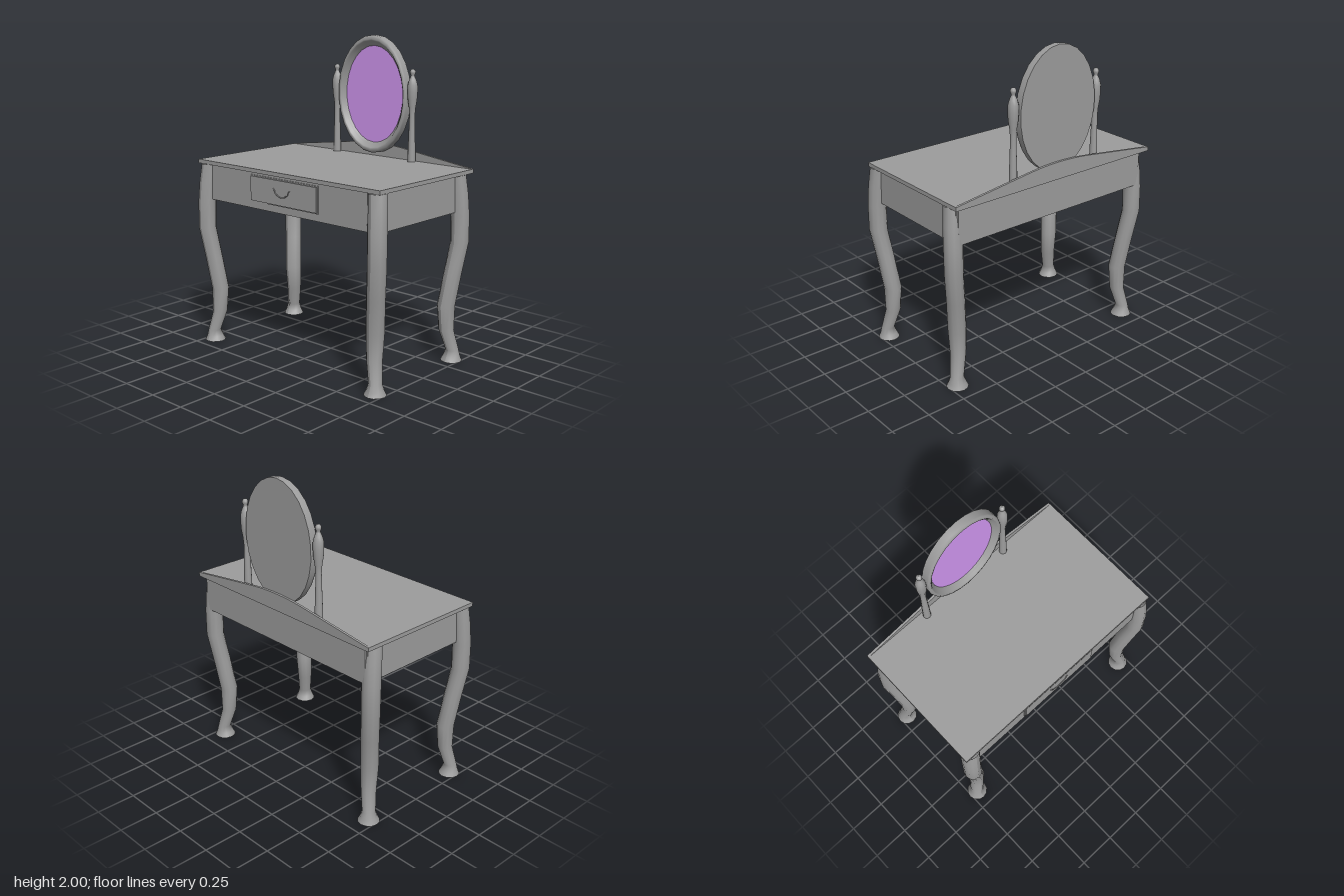
import * as THREE from 'three';

const grey = new THREE.MeshStandardMaterial({ color: 0x9d9d9d });
const greyDouble = new THREE.MeshStandardMaterial({ color: 0x9d9d9d, side: THREE.DoubleSide });
const glassMaterial = new THREE.MeshStandardMaterial({ color: 0xd197f1 });
const CX = -0.008; // the top and mirror sit slightly off centre

function add(parent, name, geometry, x = 0, y = 0, z = 0, material = grey) {
  const mesh = new THREE.Mesh(geometry, material);
  mesh.name = name;
  mesh.position.set(x, y, z);
  parent.add(mesh);
  return mesh;
}

function box(parent, name, x0, x1, y0, y1, z0, z1) {
  return add(parent, name, new THREE.BoxGeometry(x1 - x0, y1 - y0, z1 - z0),
    (x0 + x1) / 2, (y0 + y1) / 2, (z0 + z1) / 2);
}

// S-curved hollow leg: a tube whose rings follow [height, x, z, radius] stations
function legGeometry(sx, sz) {
  const stations = [
    [1.19, 0.700, 0.374, 0.057],
    [1.07, 0.711, 0.386, 0.058],
    [0.94, 0.717, 0.395, 0.058],
    [0.77, 0.718, 0.397, 0.057],
    [0.57, 0.691, 0.371, 0.056],
    [0.36, 0.666, 0.344, 0.056],
    [0.20, 0.667, 0.350, 0.048],
    [0.07, 0.697, 0.376, 0.042],
    [0.03, 0.695, 0.374, 0.054],
    [0.00, 0.694, 0.373, 0.068],
  ];
  const n = stations.length - 1;
  const geometry = new THREE.CylinderGeometry(1, 1, 1, 12, n, true);
  const p = geometry.attributes.position;
  for (let i = 0; i < p.count; i++) {
    const [y, x, z, r] = stations[Math.round((0.5 - p.getY(i)) * n)];
    p.setXYZ(i, sx * x + r * p.getX(i), y, sz * z + 0.009 + r * p.getZ(i));
  }
  geometry.computeVertexNormals();
  return geometry;
}

const points = (list) => list.map(([x, y]) => new THREE.Vector2(x, y));

export function createModel() {
  const model = new THREE.Group();
  model.name = 'dressingTable';

  // Table top and the apron below it
  box(model, 'tableTop', CX - 0.758, CX + 0.759, 1.19, 1.215, -0.466, 0.427);
  box(model, 'frontApron', -0.715, 0.715, 0.962, 1.19, 0.397, 0.410);
  box(model, 'backApron', -0.715, 0.715, 0.962, 1.19, -0.437, -0.424);
  for (const s of [-1, 1]) {
    const x = s * 0.716;
    box(model, s > 0 ? 'leftApron' : 'rightApron', x - 0.006, x + 0.006, 0.962, 1.19, -0.425, 0.398);
  }

  // Four legs
  for (const sx of [-1, 1]) {
    for (const sz of [-1, 1]) {
      const name = (sz > 0 ? 'front' : 'back') + (sx > 0 ? 'Left' : 'Right') + 'Leg';
      add(model, name, legGeometry(sx, sz), 0, 0, 0, greyDouble);
    }
  }

  // Drawer with a stepped edge and a thin curved pull
  box(model, 'drawerEdge', -0.289, 0.278, 1.007, 1.174, 0.39, 0.416);
  box(model, 'drawerFront', -0.282, 0.271, 1.014, 1.167, 0.40, 0.424);
  const pull = new THREE.CatmullRomCurve3([
    [-0.072, 1.112], [-0.060, 1.108], [-0.053, 1.088], [-0.036, 1.078], [-0.022, 1.069], [0, 1.066],
    [0.022, 1.069], [0.036, 1.078], [0.053, 1.088], [0.060, 1.108], [0.072, 1.112],
  ].map(([x, y], i) => new THREE.Vector3(x, y, i % 10 === 0 ? 0.424 : 0.428)));
  add(model, 'drawerPull', new THREE.TubeGeometry(pull, 30, 0.0035, 6), CX - 0.004);

  // Low arched board along the back edge
  const board = new THREE.Shape(points([[-0.757, 1.2], [0.757, 1.2], [0.757, 1.216], [0.26, 1.281]]));
  board.quadraticCurveTo(0, 1.318, -0.26, 1.281);
  board.lineTo(-0.757, 1.216);
  board.closePath();
  const boardGeometry = new THREE.ExtrudeGeometry(board, { depth: 0.015, bevelEnabled: false, curveSegments: 10 });
  add(model, 'backBoard', boardGeometry, CX, 0, -0.467);

  // Oval mirror: a turned round frame, stretched upright
  const mirror = new THREE.Group();
  mirror.name = 'mirror';
  mirror.position.set(CX, 1.62, -0.448);
  mirror.scale.set(1, 1.33, 1);
  model.add(mirror);
  const frame = new THREE.LatheGeometry(points([
    [0.286, 0], [0.286, 0.044], [0.281, 0.054], [0.268, 0.058],
    [0.261, 0.054], [0.252, 0.040], [0.246, 0.036], [0.235, 0.022],
  ]), 26);
  frame.rotateX(Math.PI / 2);
  add(mirror, 'mirrorFrame', frame, 0, 0, 0, greyDouble);
  const back = new THREE.CircleGeometry(0.286, 26);
  back.rotateZ(Math.PI / 2);
  back.rotateY(Math.PI);
  add(mirror, 'mirrorBack', back);
  const glass = new THREE.CircleGeometry(0.237, 26);
  glass.rotateZ(Math.PI / 2);
  add(mirror, 'mirrorGlass', glass, 0, 0, 0.023, glassMaterial);

  // Turned posts with ball finials, pinned to the mirror
  const post = new THREE.LatheGeometry(points([
    [0.025, 1.21], [0.024, 1.30], [0.020, 1.42], [0.018, 1.51], [0.022, 1.56], [0.030, 1.61],
    [0.033, 1.66], [0.032, 1.70], [0.024, 1.73], [0.014, 1.752], [0.012, 1.762],
    [0.018, 1.775], [0.018, 1.787], [0.011, 1.798], [0, 1.801],
  ]), 12);
  for (const s of [-1, 1]) {
    const side = s > 0 ? 'left' : 'right';
    add(model, side + 'Post', post, CX + s * 0.317, 0, -0.42);
    const pin = new THREE.CylinderGeometry(0.008, 0.008, 0.05, 8);
    pin.rotateZ(Math.PI / 2);
    add(model, side + 'Pin', pin, CX + s * 0.295, 1.64, -0.42);
  }

  return model;
}
